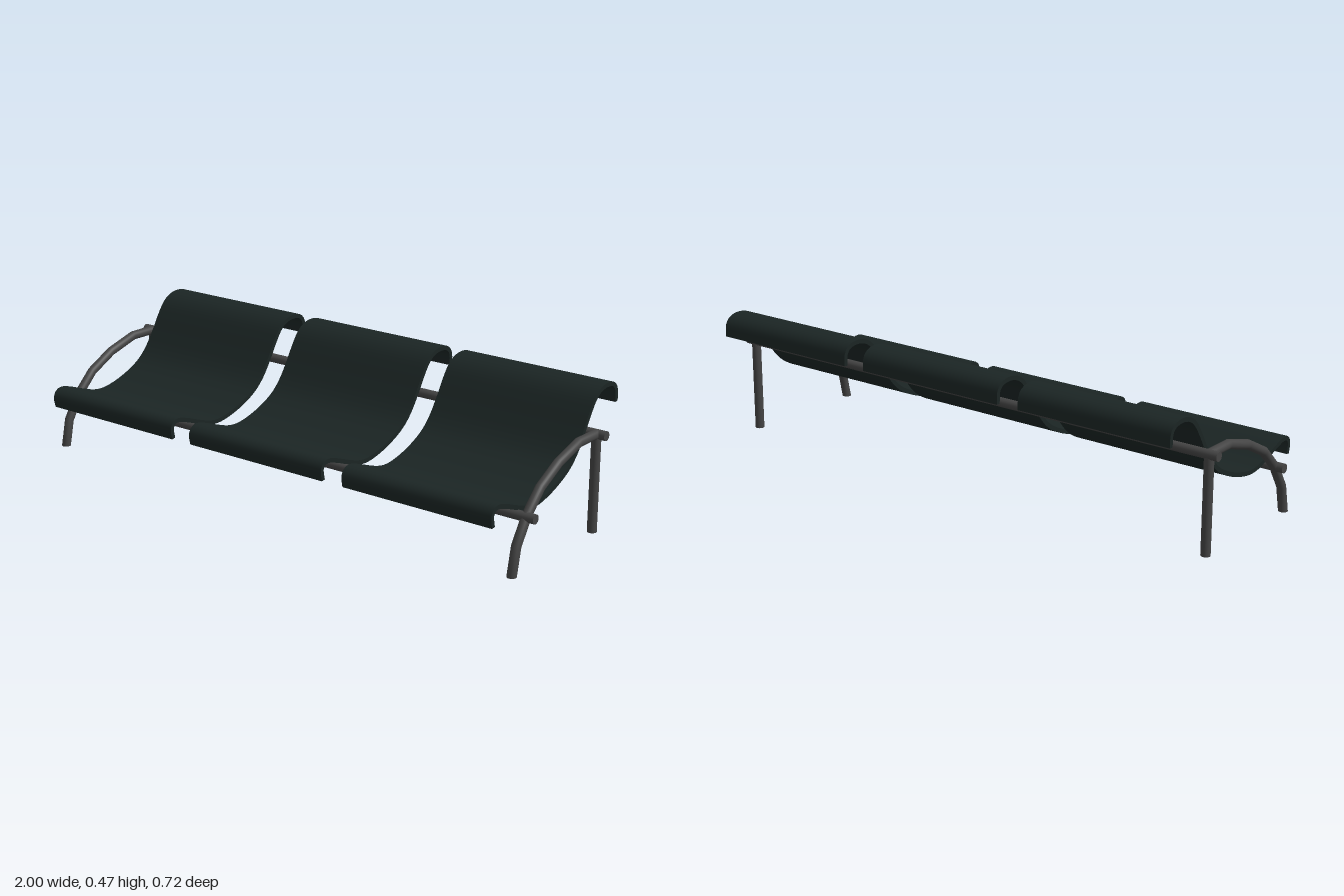
import * as THREE from 'three';
import { toCreasedNormals } from 'three/addons/utils/BufferGeometryUtils.js';

const frameMat = new THREE.MeshStandardMaterial({ color: 0x444444 });
const shellMat = new THREE.MeshStandardMaterial({ color: 0x1b2524 });
const R = 0.016;

// Polyline path with mitred corners; the first end is cut level with the floor
class BentPath extends THREE.Curve {
  constructor(points) {
    super();
    this.points = points;
  }
  getPointAt(u) {
    return this.points[Math.round(u * (this.points.length - 1))].clone();
  }
  getTangentAt(u) {
    const p = this.points, i = Math.round(u * (p.length - 1));
    if (i === 0) return new THREE.Vector3(0, 1, 0);
    const a = p[i].clone().sub(p[i - 1]).normalize();
    if (i < p.length - 1) a.add(p[i + 1].clone().sub(p[i]).normalize());
    return a.normalize();
  }
}

function add(parent, name, geometry, material, x = 0, y = 0, z = 0) {
  const mesh = new THREE.Mesh(geometry, material);
  mesh.name = name;
  mesh.position.set(x, y, z);
  parent.add(mesh);
  return mesh;
}

// Curved sheet: a centre line [z, y] thickened both ways and extruded across x
function shellGeometry(width, thickness) {
  const line = [
    [0.349, 0.173], [0.355, 0.21], [0.343, 0.228], [0.322, 0.232], [0.283, 0.222],
    [0.215, 0.197], [0.167, 0.182], [0.126, 0.177], [0.07, 0.184], [-0.008, 0.208],
    [-0.076, 0.243], [-0.118, 0.282], [-0.159, 0.34], [-0.192, 0.394], [-0.221, 0.433],
    [-0.25, 0.454], [-0.291, 0.463], [-0.333, 0.455], [-0.35, 0.435], [-0.353, 0.393],
  ];
  const curve = new THREE.CatmullRomCurve3(line.map(([z, y]) => new THREE.Vector3(z, y, 0)));
  const n = 72, upper = [], lower = [];
  for (let i = 0; i <= n; i++) {
    const p = curve.getPointAt(i / n), t = curve.getTangentAt(i / n);
    const dx = -t.y * thickness / 2, dy = t.x * thickness / 2;
    upper.push(new THREE.Vector2(p.x + dx, p.y + dy));
    lower.push(new THREE.Vector2(p.x - dx, p.y - dy));
  }
  const shape = new THREE.Shape([...upper, ...lower.reverse()]);
  const geo = new THREE.ExtrudeGeometry(shape, { depth: width, bevelEnabled: false });
  geo.rotateY(-Math.PI / 2).translate(width / 2, 0, 0);
  return toCreasedNormals(geo, 0.7);
}

export function createModel() {
  const bench = new THREE.Group();
  bench.name = 'bench';

  // Three seats side by side
  const seat = shellGeometry(0.568, 0.015);
  for (const x of [-0.651, 0, 0.651]) add(bench, 'seatShell', seat, shellMat, x);

  // Long rails
  const rail = new THREE.CylinderGeometry(R, R, 2, 24).rotateZ(Math.PI / 2);
  add(bench, 'frontRail', rail, frameMat, 0, 0.175, 0.217);
  add(bench, 'rearRail', rail, frameMat, 0, 0.332, -0.187);

  // End frames: arched front leg and straight rear leg
  const arch = [[0.285, 0], [0.265, 0.093], [0.212, 0.178], [0.14, 0.248],
    [0.04, 0.3], [-0.077, 0.334], [-0.187, 0.333]]
    .map(([z, y]) => new THREE.Vector3(0, y, z));
  const archGeo = new THREE.TubeGeometry(new BentPath(arch), arch.length - 1, R, 24);
  const footGeo = new THREE.CircleGeometry(R, 24).rotateX(Math.PI / 2);
  const legGeo = new THREE.CylinderGeometry(R, R, 0.332, 24);
  for (const side of [-1, 1]) {
    const end = new THREE.Group();
    end.name = side > 0 ? 'leftEndFrame' : 'rightEndFrame';
    end.position.x = side * 0.964;
    add(end, 'archedLeg', archGeo, frameMat);
    add(end, 'archedLegFoot', footGeo, frameMat, 0, 0, 0.285);
    add(end, 'rearLeg', legGeo, frameMat, 0, 0.166, -0.185);
    bench.add(end);
  }
  return bench;
}
